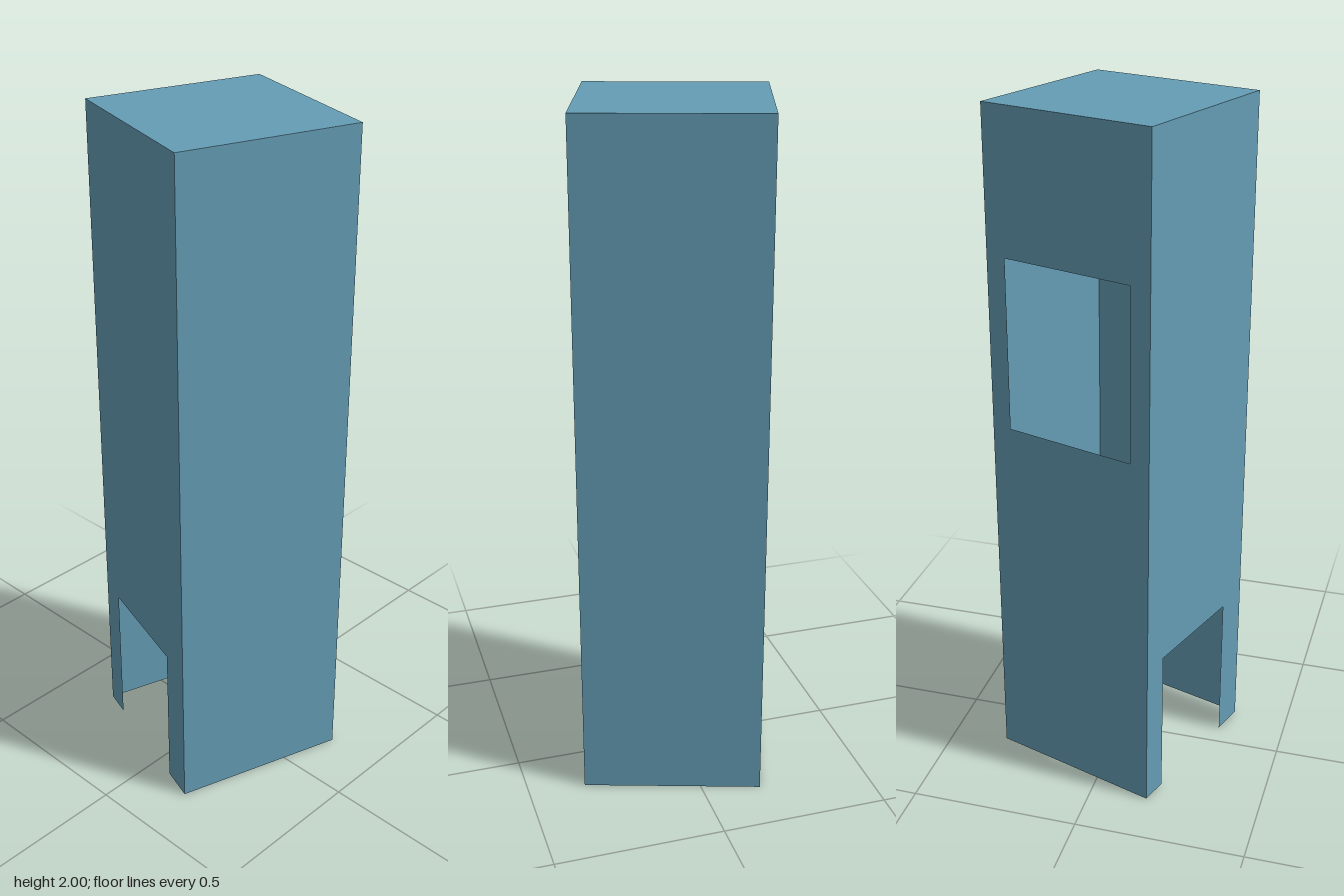
import * as THREE from 'three';

const HALF = 0.2635, HEIGHT = 2;

export function createModel() {
  const group = new THREE.Group();
  group.name = 'tower';
  const material = new THREE.MeshStandardMaterial({ color: 0x659db5, side: THREE.DoubleSide, flatShading: true });

  // Thin wall panel, turned about the tower axis; u runs along the wall, y up
  const addWall = (name, turn, outline, hole) => {
    const shape = new THREE.Shape(outline.map(p => new THREE.Vector2(...p)));
    if (hole) shape.holes.push(new THREE.Path(hole.map(p => new THREE.Vector2(...p))));
    const geometry = new THREE.ShapeGeometry(shape);
    geometry.translate(0, 0, HALF);
    geometry.rotateY(turn);
    const mesh = new THREE.Mesh(geometry, material);
    mesh.name = name;
    group.add(mesh);
  };
  const rect = (u0, y0, u1, y1) => [[u0, y0], [u1, y0], [u1, y1], [u0, y1]];
  const plain = rect(-HALF, 0, HALF, HEIGHT);

  // Front wall with a doorway open at the bottom
  const [d0, d1, doorTop] = [-0.18, 0.16, 0.45];
  addWall('doorWall', 0, [
    [-HALF, 0], [d0, 0], [d0, doorTop], [d1, doorTop], [d1, 0],
    [HALF, 0], [HALF, HEIGHT], [-HALF, HEIGHT],
  ]);

  // Plain walls, and the side wall with a window opening
  addWall('sideWall', Math.PI / 2, plain);
  addWall('backWall', Math.PI, plain);
  addWall('windowWall', -Math.PI / 2, plain, rect(-0.202, 1.09, 0.202, 1.59));

  // Flat roof; the bottom stays open
  const roof = new THREE.Mesh(new THREE.PlaneGeometry(2 * HALF, 2 * HALF), material);
  roof.name = 'roof';
  roof.rotation.x = -Math.PI / 2;
  roof.position.y = HEIGHT;
  group.add(roof);

  // The whole tower stands turned on its base
  group.rotation.y = -Math.atan2(0.162, 0.5);
  return group;
}
